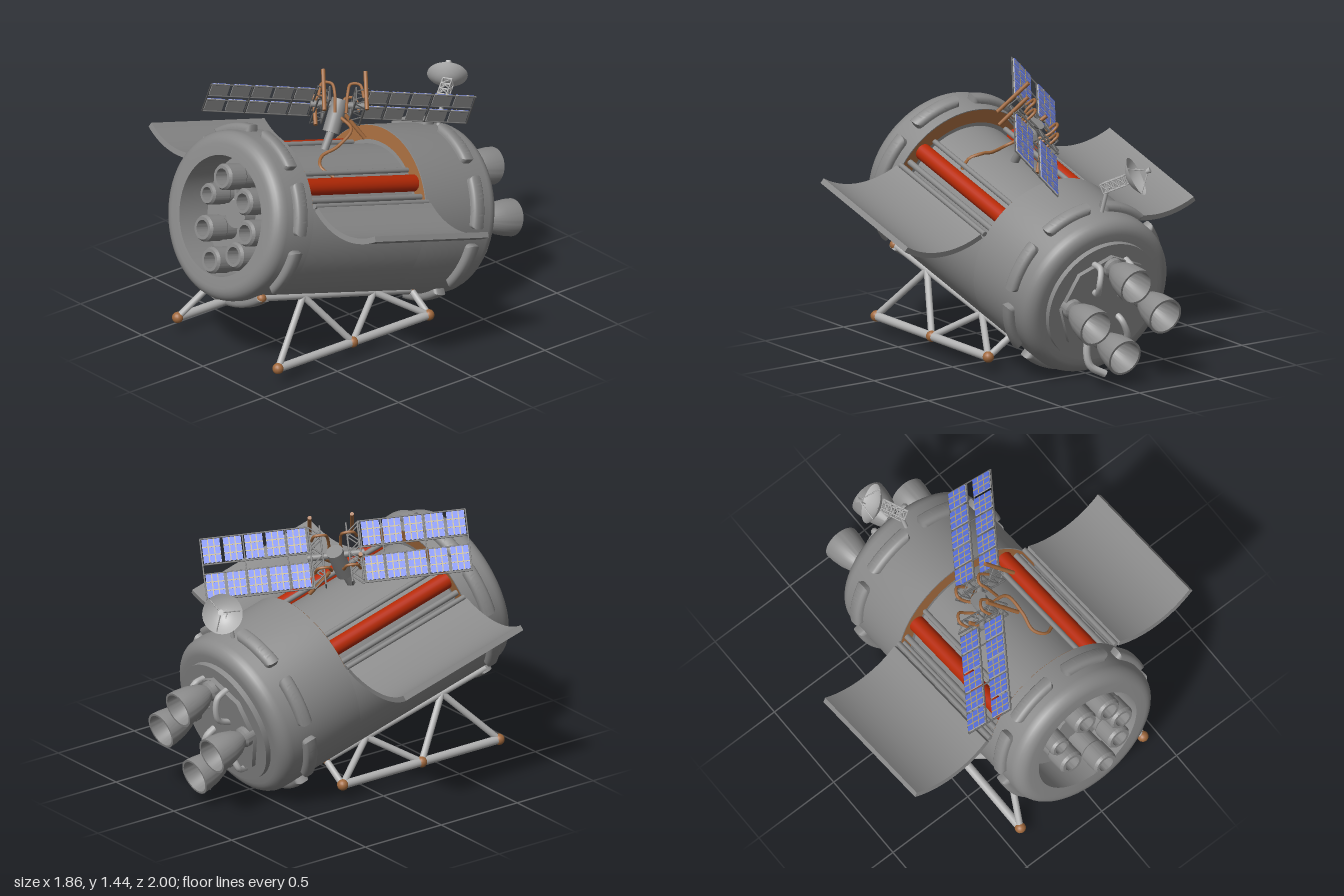
import * as THREE from 'three';
import { toCreasedNormals } from 'three/addons/utils/BufferGeometryUtils.js';

const V = (x, y, z) => new THREE.Vector3(x, y, z);
const mat = (name, color, side = THREE.FrontSide) => {
  const m = new THREE.MeshStandardMaterial({ color, side });
  m.name = name;
  return m;
};

export function createModel() {
  const hull = mat('hull grey', 0x8a8a8a, THREE.DoubleSide);
  const light = mat('light grey', 0xb2b2b2, THREE.DoubleSide);
  const dark = mat('dark frame', 0x6c6c6c);
  const red = mat('red', 0xb82a06);
  const copper = mat('copper', 0xa0683c, THREE.DoubleSide);
  const blue = mat('solar blue', 0x5a72e0);
  const gold = mat('grid gold', 0xb0a070);

  const model = new THREE.Group();
  const add = (parent, name, geo, material, pos) => {
    const m = new THREE.Mesh(geo, material);
    m.name = name;
    if (pos) m.position.copy(pos);
    parent.add(m);
    return m;
  };
  const group = (parent, name) => {
    const g = new THREE.Group();
    g.name = name;
    parent.add(g);
    return g;
  };
  const rod = (parent, name, a, b, r, material, sides = 10) => {
    const d = b.clone().sub(a);
    const m = add(parent, name, new THREE.CylinderGeometry(r, r, d.length(), sides), material, a.clone().lerp(b, 0.5));
    m.quaternion.setFromUnitVectors(V(0, 1, 0), d.normalize());
    return m;
  };
  const pipe = (parent, name, pts, r, material) =>
    add(parent, name, new THREE.TubeGeometry(new THREE.CatmullRomCurve3(pts), 32, r, 8), material);
  // surface of revolution about the z axis, from [radius, z] pairs, in steps of 5 degrees
  const rad = Math.PI / 180;
  const turned = (pts, start = 0, len = 360) => toCreasedNormals(
    new THREE.LatheGeometry(pts.map(p => new THREE.Vector2(...p)), len / 5, start * rad, len * rad).rotateX(Math.PI / 2), 0.5);
  // extruded arc band in the xy plane
  const band = (cx, cy, r0, r1, mid, half, opts) => {
    const s = new THREE.Shape();
    s.absarc(cx, cy, r1, mid - half, mid + half, false);
    s.absarc(cx, cy, r0, mid + half, mid - half, true);
    return toCreasedNormals(new THREE.ExtrudeGeometry(s, { curveSegments: 16, ...opts }), 0.6);
  };

  // Hull, tilted nose up
  const ship = group(model, 'ship');
  ship.position.set(0, 0.637, 0.137);
  ship.rotation.x = -Math.PI / 12;
  const R = 0.45, T = 0.35, z0 = -0.28, z1 = 0.52, back = -0.83;
  const fillet = (z, s) => [0, 1, 2, 3, 4, 5, 6].map(i => {
    const a = i / 6 * Math.PI / 2;
    return [R - 0.07 + 0.07 * Math.cos(a), z + s * 0.07 * Math.sin(a)];
  });
  add(ship, 'frontSection', turned([[T, z1], [R, z1], ...fillet(0.7, 1), [0.32, 0.77], [0.32, 0.57], [0, 0.57]]), hull);
  add(ship, 'rearSection', turned([[0, back], [0.34, back], [0.34, -0.8], ...fillet(-0.73, -1).reverse(), [R, z0], [T, z0]]), hull);
  add(ship, 'bayShell', turned([[R, z0], [R, z1]], -115, 230), hull);
  add(ship, 'innerTank', turned([[T, z0], [T, z1]]), hull);
  for (const z of [z0 + 0.003, z1 - 0.003])
    add(ship, 'bayBulkhead', new THREE.RingGeometry(0.372, R - 0.003, 48, 1, 0, Math.PI), copper, V(0, 0, z));
  add(ship, 'rearPlate', new THREE.CylinderGeometry(0.28, 0.28, 0.03, 8).rotateX(Math.PI / 2), hull, V(0, 0, back - 0.01));

  // Bay doors, red tanks and rails
  for (const s of [1, -1]) {
    add(ship, 'bayDoor', band(s * 0.68, 0.565, R - 0.012, R + 0.018, -90 * rad, 32 * rad,
      { depth: z1 - z0, bevelEnabled: false }), hull, V(0, 0, z0));
    rod(ship, 'redTank', V(s * 0.29, 0.25, z0), V(s * 0.29, 0.25, z1), 0.045, red, 24);
    for (const [x, y, r] of [[0.42, 0.19, 0.014], [0.365, 0.2, 0.016], [0.39, 0.17, 0.01], [0.225, 0.3, 0.014]])
      rod(ship, 'bayRail', V(s * x, y, z0), V(s * x, y, z1), r, hull);
  }

  // Rounded pads around both ends
  for (const z of [0.62, -0.63]) for (let i = 0; i < 8; i++)
    add(ship, 'hullPad', band(0, 0, 0.42, 0.461, (22.5 + 45 * i) * rad, 14 * rad,
      { depth: 0.03, bevelThickness: 0.025, bevelSize: 0.025, bevelSegments: 4 }), hull, V(0, 0, z - 0.015));

  // Nose tubes in the recess: x, y, base z, width
  const nozzle = turned([[0.063, 0], [0.063, 0.12], [0.07, 0.13], [0.07, 0.23], [0.06, 0.245], [0.044, 0.245], [0.044, 0.08], [0, 0.08]]);
  for (const [x, y, z, w] of [[0, 0.218, 0.575, 1], [0.16, 0.133, 0.545, 1], [0.22, -0.02, 0.54, 1], [0.17, -0.16, 0.54, 1],
    [0.04, -0.23, 0.575, 1], [-0.12, -0.11, 0.52, 1], [-0.15, 0.07, 0.51, 0.82]])
    add(ship, 'noseTube', nozzle, hull, V(x, y, z)).scale.set(w, w, 1);
  add(ship, 'noseHub', new THREE.CylinderGeometry(0.075, 0.075, 0.09, 32).rotateX(Math.PI / 2), hull, V(-0.02, 0, 0.6));
  add(ship, 'tubeBase', new THREE.CylinderGeometry(0.075, 0.075, 0.05, 32).rotateX(Math.PI / 2), hull, V(-0.15, 0.055, 0.58));
  rod(ship, 'hubArm', V(-0.02, 0, 0.58), V(-0.15, 0.055, 0.58), 0.035, hull);

  // Main engines
  const bell = turned([[0.088, -0.29], [0.1, -0.29], [0.098, -0.25], [0.088, -0.19], [0.068, -0.13], [0.042, -0.09], [0.055, -0.08], [0.055, 0]]);
  const bellInside = turned([[0, -0.1], [0.03, -0.11], [0.06, -0.15], [0.08, -0.22], [0.088, -0.29]]);
  for (const [x, y] of [[0, 0.22], [0.22, 0.01], [-0.22, 0.01], [0, -0.2]]) {
    add(ship, 'engineBell', bell, hull, V(x, y, -0.8));
    add(ship, 'engineBellInside', bellInside, hull, V(x, y, -0.8));
  }
  pipe(ship, 'enginePipe', [V(0.1, 0.24, back), V(0.1, 0.24, -0.89), V(0.12, 0.17, -0.93), V(0.1, 0.1, -0.9), V(0.08, 0.08, back)], 0.017, light);
  pipe(ship, 'enginePipe', [V(-0.1, 0.24, back), V(-0.1, 0.22, -0.9), V(-0.09, 0.1, -0.92), V(-0.08, 0.03, back)], 0.017, light);
  pipe(ship, 'enginePipe', [V(0.08, -0.05, back), V(0.09, -0.08, -0.9), V(0.13, -0.18, -0.92), V(0.12, -0.29, -0.96), V(0.04, -0.335, -1)], 0.02, light);
  pipe(ship, 'enginePipe', [V(-0.09, -0.08, back), V(-0.1, -0.1, -0.89), V(-0.14, -0.2, -0.9), V(-0.1, -0.25, back)], 0.017, light);

  // Landing skids
  for (const s of [1, -1]) {
    const skid = group(model, 'landingSkid');
    const lo = z => V(s * 0.41, 0.085, z), up = z => V(s * (0.27 + 0.018 * z), 0.23 + 0.262 * z, z);
    rod(skid, 'lowerRail', lo(0.83), lo(-0.2), 0.023, light, 16);
    rod(skid, 'upperRail', up(0.83), up(-0.2), 0.018, light, 16);
    for (const [a, b] of [[0.83, 0.55], [0.32, 0.55], [0.32, 0.06], [-0.2, 0.06], [-0.2, -0.2]])
      rod(skid, 'skidStrut', lo(a), up(b), 0.018, light, 12);
    const ball = (p, r) => add(skid, 'skidJoint', new THREE.SphereGeometry(r, 16, 12), copper, p);
    [0.83, 0.32, -0.2].forEach(z => ball(lo(z), 0.03));
    ball(up(-0.2), 0.022);
    if (s > 0) ball(up(0.84), 0.027);
  }

  // Solar array: x along the wings, y across, z out of the cell side
  const solar = group(model, 'solarArray');
  const ex = V(-0.557, 0.1, 0.825).normalize();
  const ez = ex.clone().cross(V(0.61, 0.74, 0.26)).normalize();
  const ey = ez.clone().cross(ex);
  solar.quaternion.setFromRotationMatrix(new THREE.Matrix4().makeBasis(ex, ey, ez));
  solar.position.set(-0.05, 1.215, 0.03);
  const W = 0.095, H = 0.132;
  for (const s of [1, -1]) {
    for (const t of [1, -1]) {
      for (let i = 0; i < 5; i++) {
        const x = s * (0.195 + i * 0.1125), y = t * 0.097;
        add(solar, 'panelBack', new THREE.BoxGeometry(W, H, 0.008), light, V(x, y, 0));
        add(solar, 'panelCells', new THREE.BoxGeometry(W - 0.002, H - 0.002, 0.004), blue, V(x, y, 0.005));
        for (const k of [-1, 1]) {
          add(solar, 'cellLine', new THREE.BoxGeometry(0.006, H - 0.002, 0.002), gold, V(x + k * W / 6, y, 0.007));
          add(solar, 'cellLine', new THREE.BoxGeometry(W - 0.002, 0.006, 0.002), gold, V(x, y + k * H / 6, 0.007));
        }
      }
      for (const y of [0.026, 0.17])
        rod(solar, 'wingSpar', V(s * 0.13, t * y, -0.004), V(s * 0.7, t * y, -0.004), 0.004, dark, 6);
    }
    for (const x of [0.139, 0.251, 0.476, 0.7])
      rod(solar, 'wingRib', V(s * x, -0.17, -0.004), V(s * x, 0.17, -0.004), 0.004, dark, 6);
    // lattice between wing and hub
    for (const z of [0.02, -0.05]) {
      for (const x of [0.07, 0.13]) rod(solar, 'lattice', V(s * x, -0.16, z), V(s * x, 0.16, z), 0.005, dark, 6);
      for (let i = 0; i < 6; i++) {
        const y = -0.16 + i * 0.0533, f = i % 2;
        rod(solar, 'lattice', V(s * (f ? 0.07 : 0.13), y, z), V(s * (f ? 0.13 : 0.07), y + 0.0533, z), 0.004, dark, 6);
      }
    }
    for (let i = 0; i < 7; i++)
      rod(solar, 'lattice', V(s * 0.07, -0.16 + i * 0.0533, 0.02), V(s * 0.07, -0.16 + i * 0.0533, -0.05), 0.004, dark, 6);
    // copper brackets
    for (const y of [-0.09, 0.09])
      pipe(solar, 'copperBracket', [V(s * 0.03, y * 0.6, -0.08), V(s * 0.035, y, 0.02), V(s * 0.05, y, 0.07), V(s * 0.1, y, 0.07), V(s * 0.12, y, 0)], 0.008, copper);
  }
  rod(solar, 'hubBar', V(-0.15, 0, -0.01), V(0.15, 0, -0.01), 0.018, hull);

  // Mast, copper rods and cable
  rod(model, 'mastLower', V(0, 0.93, 0.21), V(-0.02, 1.1, 0.1), 0.022, hull, 16);
  rod(model, 'mastUpper', V(-0.02, 1.08, 0.11), V(-0.05, 1.235, 0.02), 0.045, hull, 24);
  for (const [a, b] of [[[-0.07, 1.43, 0.12], [0.06, 1.27, 0.22]], [[0.06, 1.41, -0.06], [0.18, 1.26, 0.03]],
    [[-0.06, 1.13, -0.02], [0.02, 1.0, -0.09]], [[-0.17, 1.24, 0.1], [-0.06, 1.13, 0.18]]])
    rod(model, 'copperRod', V(...a), V(...b), 0.011, copper);
  pipe(model, 'copperCable', [V(0, 1.16, 0.06), V(0.1, 1.13, 0.07), V(0.12, 1.07, 0.18), V(0.11, 1.04, 0.28), V(0.16, 1.01, 0.33), V(0.23, 0.97, 0.3)], 0.009, copper);

  // Dish antenna with mast and lattice boom
  const n = V(-0.62, 0.45, -0.6).normalize();
  rod(model, 'dishMast', V(-0.02, 0.9, -0.625), V(-0.03, 1.04, -0.665), 0.011, light);
  const a = V(-0.02, 1.03, -0.64), b = V(-0.09, 1.09, -0.75);
  const u = b.clone().sub(a).normalize().cross(V(0, 1, 0)).normalize();
  const w = u.clone().cross(b.clone().sub(a).normalize());
  const corner = (t, i) => a.clone().lerp(b, t)
    .addScaledVector(u, [1, 1, -1, -1][i % 4] * 0.025).addScaledVector(w, [1, -1, -1, 1][i % 4] * 0.025);
  for (let i = 0; i < 4; i++) {
    rod(model, 'dishBoom', corner(0, i), corner(1, i), 0.004, light, 6);
    for (let k = 0; k < 5; k++) {
      rod(model, 'dishBoom', corner(k / 4, i), corner(k / 4, i + 1), 0.004, light, 6);
      if (k < 4) rod(model, 'dishBoom', corner(k / 4, i), corner((k + 1) / 4, i + 1), 0.003, light, 6);
    }
  }
  const dish = group(model, 'dish');
  dish.position.set(-0.1, 1.085, -0.75);
  dish.quaternion.setFromUnitVectors(V(0, 1, 0), n);
  add(dish, 'dishBowl', new THREE.LatheGeometry([0, 0.02, 0.04, 0.06, 0.08, 0.095, 0.107].map(r => new THREE.Vector2(r, 4.2 * r * r)), 36), light);
  for (let i = 0; i < 3; i++) {
    const t = i * Math.PI * 2 / 3;
    rod(dish, 'feedStrut', V(0.095 * Math.cos(t), 0.038, 0.095 * Math.sin(t)), V(0, 0.12, 0), 0.003, light, 6);
  }
  add(dish, 'feedHorn', new THREE.CylinderGeometry(0.016, 0.01, 0.025, 12), light, V(0, 0.12, 0));
  return model;
}
